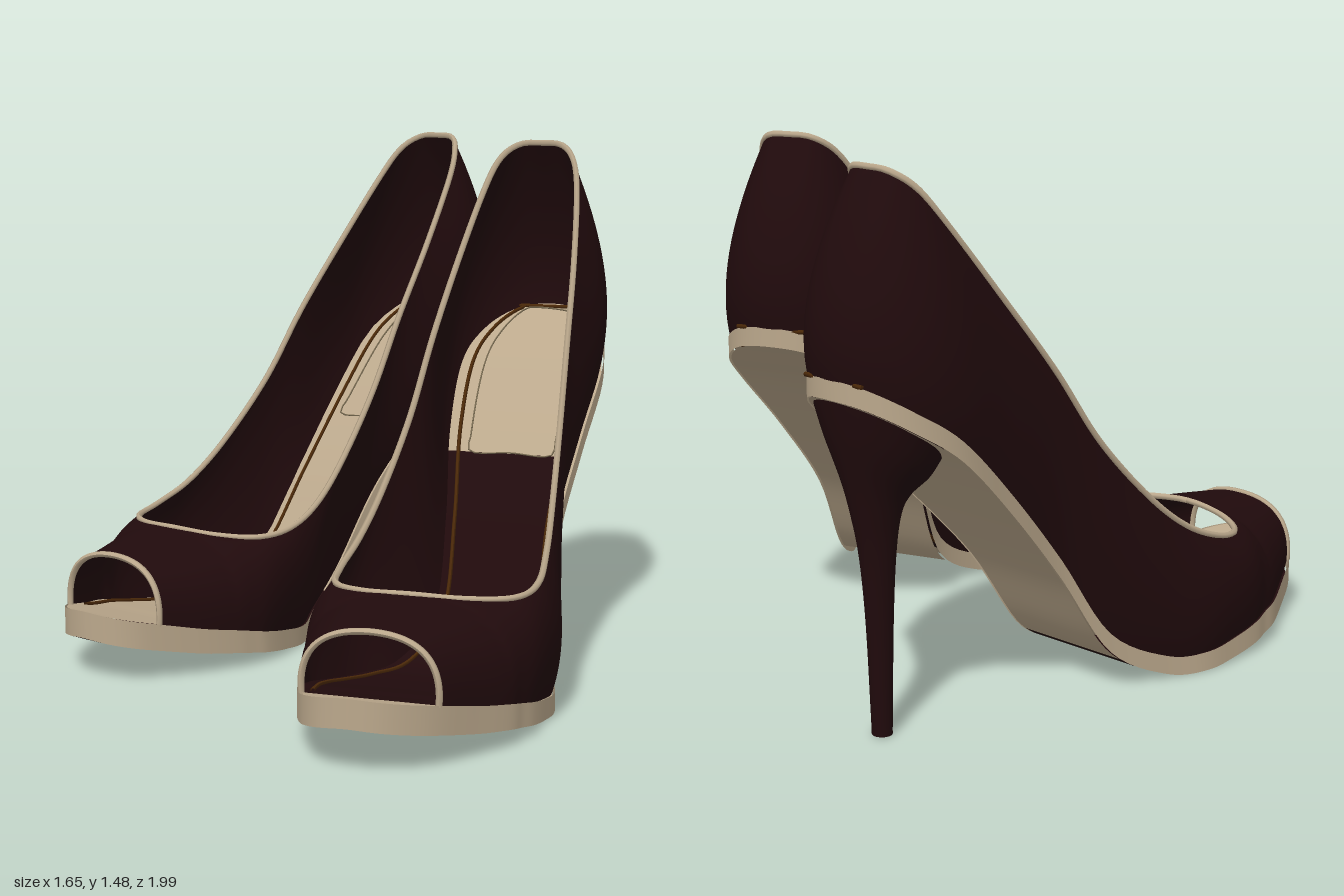
import * as THREE from 'three';

const mat = (name, color) => new THREE.MeshStandardMaterial({ name, color, side: THREE.DoubleSide });

// Sole outline from heel to toe: outer half width, inner half width, underside y, z
const FOOT = [
  [0, 0, 0.91, -0.98], [0.1, 0.1, 0.895, -0.953], [0.18, 0.18, 0.84, -0.87], [0.215, 0.215, 0.75, -0.74],
  [0.2, 0.195, 0.57, -0.55], [0.185, 0.145, 0.35, -0.35], [0.21, 0.125, 0.11, -0.18], [0.26, 0.175, 0.012, 0],
  [0.3, 0.25, 0, 0.13], [0.305, 0.285, 0.012, 0.25], [0.3, 0.3, 0.025, 0.34], [0.285, 0.295, 0.035, 0.4],
  [0.27, 0.285, 0.045, 0.46], [0.22, 0.255, 0.06, 0.56], [0.155, 0.205, 0.085, 0.68], [0.095, 0.165, 0.1, 0.75],
  [0.03, 0.11, 0.112, 0.795], [-0.04, 0.04, 0.12, 0.812],
];
// Topline from heel to throat: half width, y, z
const TOP = [
  [0, 1.465, -0.84], [0.065, 1.46, -0.835], [0.112, 1.42, -0.79], [0.142, 1.33, -0.72], [0.175, 1.13, -0.56],
  [0.2, 0.92, -0.39], [0.22, 0.71, -0.24], [0.245, 0.53, -0.07], [0.265, 0.42, 0.07], [0.275, 0.365, 0.2],
  [0.245, 0.35, 0.31], [0.14, 0.355, 0.385], [0, 0.362, 0.41],
];
const VAMP_END = new THREE.Vector3(0, 0.33, 0.675);
// Heel rings from the ground up: y, centre z, half depth, half width, tilt
const HEEL = [
  [0.008, -0.815, 0.027, 0.027, 0], [0.3, -0.82, 0.037, 0.034, 0], [0.48, -0.825, 0.05, 0.044, 0],
  [0.59, -0.83, 0.068, 0.06, 0.1], [0.66, -0.83, 0.09, 0.085, 0.35], [0.74, -0.825, 0.125, 0.14, 0.6],
  [0.825, -0.82, 0.15, 0.185, 0.72],
];
const END = FOOT.length - 1, THROAT = TOP.length - 1, PEEP = 14, BALL = 6.2, PAD = 4.25;
const curve = (pts, closed = false) =>
  new THREE.CatmullRomCurve3(pts.map((p) => new THREE.Vector3(...p)), closed, 'catmullrom', 0.5);
// Closed rings: inner side first, then the outer side back to the heel
const soleRing = curve([
  ...FOOT.map(([, b, y, z]) => [b, y, z]),
  ...FOOT.slice(1, -1).reverse().map(([a, , y, z]) => [-a, y, z]),
], true);
const topRing = curve([...TOP, ...TOP.slice(1, -1).reverse().map(([x, y, z]) => [-x, y, z])], true);
const onRing = (ring, n, s, i) => ring.getPoint((s < 0 ? 2 * n - i : i) / (2 * n));

// Point on the sole edge; s is -1 on the outer side and 1 on the inner side
const edge = (s, i) => onRing(soleRing, END, s, i);
const thickness = (z) => 0.052 + 0.025 * THREE.MathUtils.smoothstep(z, 0, 0.8);

// Point across the sole; f runs from -1 (outer) to 1 (inner)
function across(f, i, lift = 0) {
  const p = edge(-1, i).lerp(edge(1, i), (f + 1) / 2);
  p.y += lift * thickness(p.z);
  return p;
}

// Point on the topline, or past the throat along the middle of the vamp
function topPoint(s, i) {
  const p = onRing(topRing, THROAT, s, Math.min(i, THROAT));
  if (i > THROAT) p.lerp(VAMP_END, (i - THROAT) / (PEEP - THROAT));
  p.x += across(0, i).x * THREE.MathUtils.smoothstep(i, 8, 12);
  return p;
}

// Upper surface: a curved rib from the sole edge to the topline
function upperPoint(s, i, v) {
  const b = across(s, i, 0.95), t = topPoint(s, i);
  const a = Math.min(1, i / 3) * Math.PI / 2;
  const k = 0.4 + 0.6 * THREE.MathUtils.smoothstep(i, 7, 12);
  const bulge = 0.052 - 0.037 * THREE.MathUtils.smoothstep(i, 9, 14);
  const c = new THREE.Vector3(
    b.x + s * bulge * Math.sin(a), b.y + (t.y - b.y) * k,
    THREE.MathUtils.lerp(b.z, t.z, 0.3) - 0.085 * Math.cos(a));
  return new THREE.QuadraticBezierCurve3(b, c, t).getPoint(v);
}

// Surface from a rule fn(u, v), with u and v from 0 to 1
function grid(fn, nu, nv) {
  const pos = [], idx = [];
  for (let i = 0; i <= nu; i++) for (let j = 0; j <= nv; j++) pos.push(...fn(i / nu, j / nv).toArray());
  for (let i = 0; i < nu; i++) for (let j = 0; j < nv; j++) {
    const a = i * (nv + 1) + j, b = a + nv + 1;
    idx.push(a, a + 1, b, b, a + 1, b + 1);
  }
  const g = new THREE.BufferGeometry();
  g.setAttribute('position', new THREE.Float32BufferAttribute(pos, 3));
  g.setIndex(idx);
  return g;
}

function buildShoe(m, M, complete) {
  const shoe = new THREE.Group();
  const add = (name, geo, material) => {
    if (m < 0) {
      geo.scale(-1, 1, 1);
      geo.index.array.reverse();
    }
    geo.computeVertexNormals();
    const mesh = new THREE.Mesh(geo, material);
    mesh.name = name;
    shoe.add(mesh);
  };
  const tube = (name, pts, r, material, closed = false) =>
    add(name, new THREE.TubeGeometry(new THREE.CatmullRomCurve3(pts, closed), pts.length * 2, r, 6, closed), material);
  const range = (n, fn) => Array.from({ length: n + 1 }, (_, k) => fn(k / n));
  // Strip across the sole between two stations
  const strip = (name, i0, i1, lift, material, down = false) =>
    add(name, grid((u, v) => across(down ? 1 - 2 * v : 2 * v - 1, i0 + (i1 - i0) * u, lift), 48, 4), material);

  // Upper: one skin from the outer toe edge around the heel to the inner toe edge
  add('upper', grid((u, v) => {
    const q = (2 * u - 1) * PEEP;
    return upperPoint(q < 0 ? -1 : 1, Math.abs(q), v);
  }, 168, 16), M.leather);

  // Piping around the foot opening and the open toe
  const loop = range(96, (k) => {
    const q = (2 * k - 1) * THROAT;
    return topPoint(q < 0 ? -1 : 1, Math.abs(q));
  });
  loop.pop();
  tube('toplinePiping', loop, 0.009, M.tan, true);
  tube('openToePiping', range(28, (k) =>
    upperPoint(k < 0.5 ? -1 : 1, PEEP, 1 - Math.abs(2 * k - 1))), 0.009, M.tan);

  // Welt: band around the sole edge
  add('welt', grid((u, v) => {
    const q = (2 * u - 1) * END, s = q < 0 ? -1 : 1;
    const p = across(s, Math.abs(q), 1 - v);
    p.x += s * 0.008 * Math.min(1, Math.abs(q), END - Math.abs(q));
    return p;
  }, 204, 2), M.tan);

  // Insole and sole underside; the second shoe has a bare, recessed forefoot
  if (complete) {
    strip('insole', 0, END, 1, M.tan);
    strip('outsole', BALL, END, 0, M.leather, true);
  } else {
    strip('heelInsole', 0, PAD, 1, M.tan);
    strip('bareInsole', PAD, PEEP, 1, M.leather);
    strip('toeInsole', PEEP, END, 1, M.tan);
    strip('recessedForefoot', BALL, END, 0.7, M.tan, true);
  }
  strip('shank', 0, BALL, 0, M.tan, true);

  // Seam around the insole and outline of the heel pad
  tube('insoleSeam', range(100, (k) => {
    const q = (2 * k - 1) * 13.5;
    return across(0.84 * Math.sign(q || 1), Math.max(0.8, Math.abs(q)), 1.04);
  }), 0.006, M.seam);
  const pad = range(32, (k) => {
    const q = (2 * k - 1) * 3.25;
    return across(0.66 * Math.sign(q || 1), PAD - (3.25 - Math.abs(q)), 1.06);
  });
  pad.push(across(0, PAD, 1.06));
  tube('heelPadLine', pad, 0.0025, M.line, true);

  // Stiletto heel
  if (complete) {
    const rings = curve(HEEL.map(([y, z, d]) => [y, z, d]));
    const sizes = curve(HEEL.map(([, , , w, tilt]) => [w, tilt, 0]));
    add('stilettoHeel', grid((u, v) => {
      const r = rings.getPoint(u), s = sizes.getPoint(u), a = v * Math.PI * 2;
      const dz = r.z * Math.cos(a);
      return new THREE.Vector3(s.x * Math.sin(a), r.x - s.y * dz, r.y + dz);
    }, 36, 28), M.leather);
    const tip = new THREE.CylinderGeometry(0.027, 0.027, 0.01, 24);
    tip.translate(0, 0.005, -0.815);
    add('heelTip', tip, M.leather);
  }
  return shoe;
}

export function createModel() {
  const M = {
    leather: mat('darkLeather', 0x200a0c),
    tan: mat('tanLeather', 0xbba88c),
    seam: mat('brownSeam', 0x4a2808),
    line: mat('padLine', 0x75684f),
  };
  const model = new THREE.Group();
  model.name = 'pairOfShoes';

  const right = buildShoe(1, M, true);
  right.name = 'rightShoe';
  right.position.x = -0.5;

  const left = buildShoe(-1, M, false);
  left.name = 'leftShoe';
  left.position.set(0.4, 0, 0.215);
  left.rotation.y = THREE.MathUtils.degToRad(20.5);

  model.add(right, left);
  return model;
}
